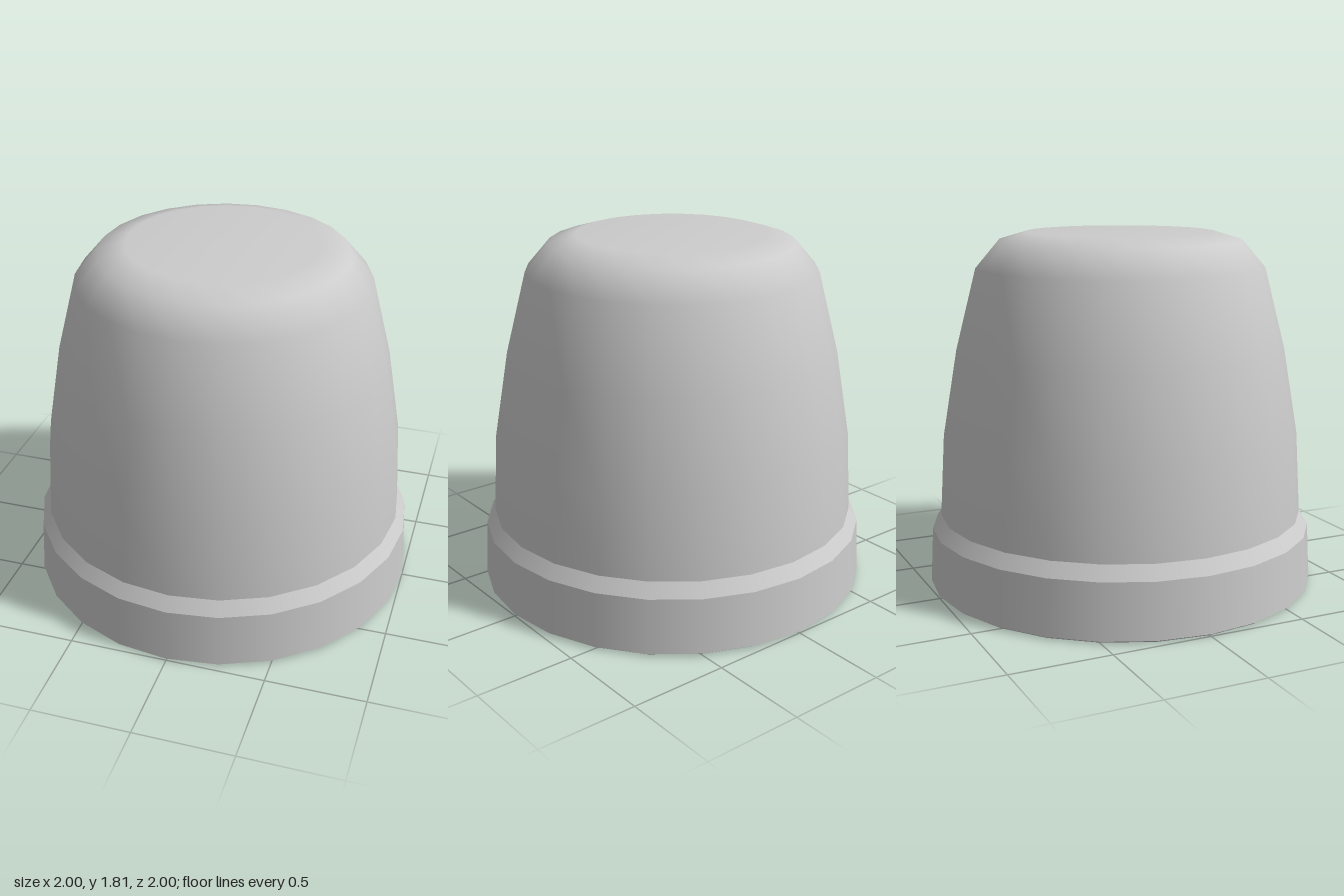
import * as THREE from 'three';

const SIDES = 24;
const material = new THREE.MeshStandardMaterial({ color: 0xcccccc });

// Revolves a profile; each profile is smooth within itself and creased at its ends.
function ring(name, profile) {
  const points = profile.map(([r, y]) => new THREE.Vector2(r, y));
  const mesh = new THREE.Mesh(new THREE.LatheGeometry(points, SIDES), material);
  mesh.name = name;
  return mesh;
}

export function createModel() {
  const group = new THREE.Group();
  group.name = 'cap';

  // Outside, from the rim up to the closed top
  group.add(ring('rimEdge', [[0.965, 0], [0.985, 0], [1, 0.01]]));
  group.add(ring('collar', [[1, 0.01], [0.985, 0.29]]));
  group.add(ring('collarBevel', [[0.985, 0.29], [0.94, 0.36]]));
  group.add(ring('dome', [
    [0.94, 0.36], [0.915, 0.78], [0.84, 1.22], [0.735, 1.63],
    [0.62, 1.765], [0.48, 1.807], [0, 1.807],
  ]));

  // Hollow inside, from the top down to the rim
  group.add(ring('innerDome', [
    [0, 1.777], [0.475, 1.777], [0.605, 1.738], [0.708, 1.615],
    [0.81, 1.213], [0.885, 0.776], [0.91, 0.35],
  ]));
  group.add(ring('innerBevel', [[0.91, 0.35], [0.955, 0.28]]));
  group.add(ring('innerCollar', [[0.955, 0.28], [0.965, 0]]));

  return group;
}
